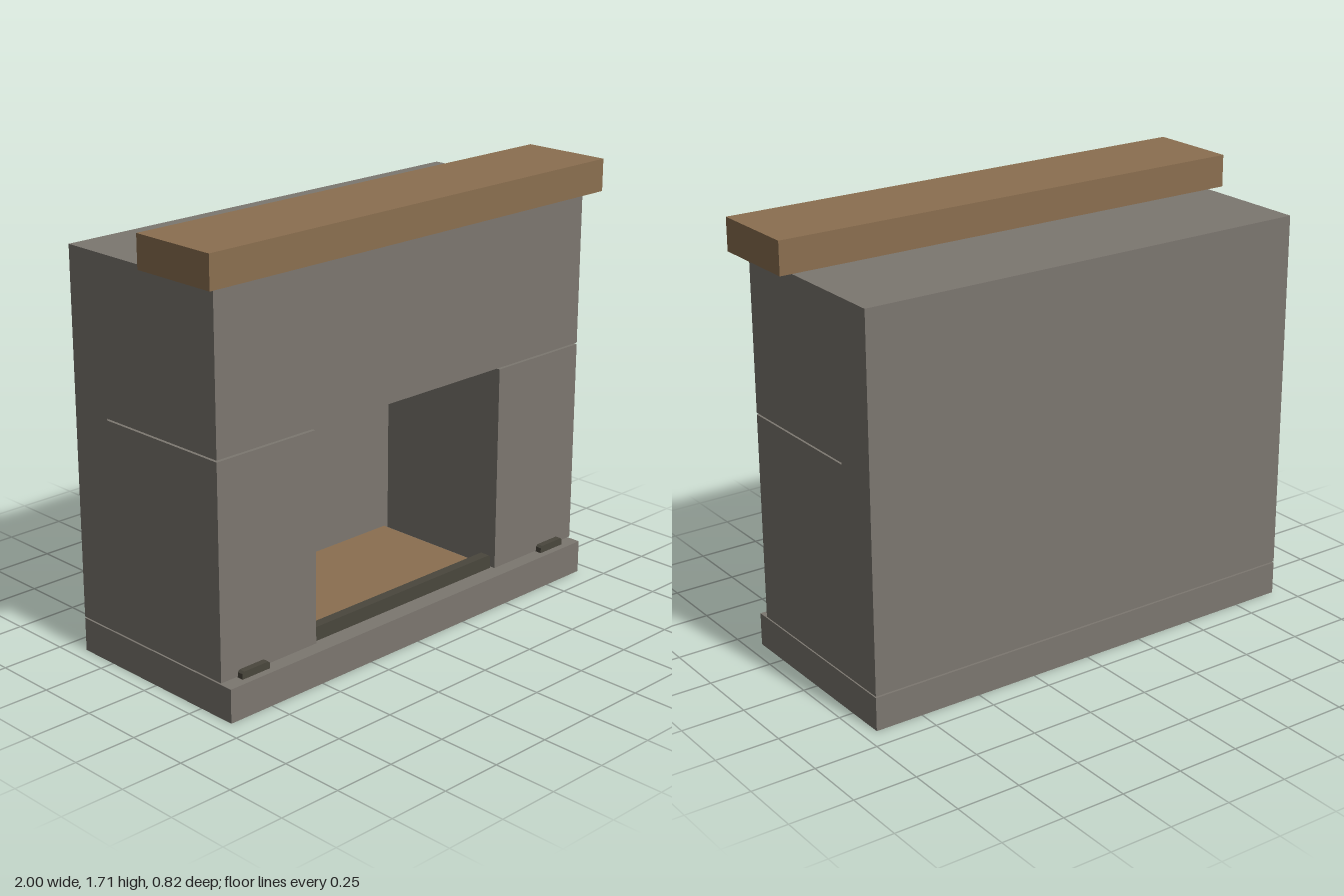
import * as THREE from 'three';

const mat = (name, color) => Object.assign(new THREE.MeshStandardMaterial({ color }), { name });

export function createModel() {
  const stone = mat('stone grey', 0x7c7770);
  const wood = mat('warm brown', 0x8b6f50);
  const iron = mat('dark iron', 0x4a473d);
  const model = new THREE.Group();
  model.name = 'fireplace';

  const add = (name, geometry, material) => {
    const mesh = new THREE.Mesh(geometry, material);
    mesh.name = name;
    model.add(mesh);
    return mesh;
  };

  // Box given by its lower and upper limits on each axis
  const block = (name, material, [x0, x1], [y0, y1], [z0, z1]) => {
    const mesh = add(name, new THREE.BoxGeometry(x1 - x0, y1 - y0, z1 - z0), material);
    mesh.position.set((x0 + x1) / 2, (y0 + y1) / 2, (z0 + z1) / 2);
    return mesh;
  };

  // Profile in (z, y) swept along x, centred on the given x
  const sweep = (name, material, points, width, x = 0) => {
    const shape = new THREE.Shape(points.map(([z, y]) => new THREE.Vector2(-z, y)));
    const geometry = new THREE.ExtrudeGeometry(shape, { depth: width, bevelEnabled: false });
    geometry.translate(0, 0, -width / 2).rotateY(Math.PI / 2);
    return Object.assign(add(name, geometry, material)).position.setX(x);
  };

  // Bar seen from the front, with its upper corners cut off
  const bar = (name, width, y0, y1, z0, z1, x = 0) => {
    const c = 0.008, w = width / 2;
    const shape = new THREE.Shape([
      [-w, y0], [w, y0], [w, y1 - c], [w - c, y1], [-w + c, y1], [-w, y1 - c],
    ].map(([a, b]) => new THREE.Vector2(a, b)));
    const geometry = new THREE.ExtrudeGeometry(shape, { depth: z1 - z0, bevelEnabled: false });
    add(name, geometry, iron).position.set(x, 0, z0);
  };

  // Hearth slab, with a fine joint below the masonry
  block('hearth', stone, [-0.943, 0.943], [0, 0.132], [-0.41, 0.41]);

  // Back wall and overhanging chimney breast in one piece
  sweep('chimneyBreast', stone, [
    [-0.41, 0.138], [-0.23, 0.138], [-0.23, 0.968], [0.36, 0.968], [0.36, 1.573], [-0.41, 1.573],
  ], 1.886);

  // Wooden mantel shelf
  block('mantel', wood, [-1, 1], [1.579, 1.706], [0.042, 0.41]);

  // Firebox floor and the ledge across its mouth
  block('fireboxFloor', wood, [-0.46, 0.46], [0.132, 0.152], [-0.225, 0.3]);
  bar('fireboxLedge', 0.96, 0.134, 0.19, 0.3, 0.34);

  // Pillars and the small vents at their feet
  for (const [side, s] of [['left', 1], ['right', -1]]) {
    const xs = [s * 0.485, s * 0.943].sort((a, b) => a - b);
    block(side + 'Pillar', stone, xs, [0.138, 0.961], [-0.23, 0.36]);
    bar(side + 'Vent', 0.13, 0.134, 0.163, 0.35, 0.385, s * 0.8);
  }
  return model;
}
